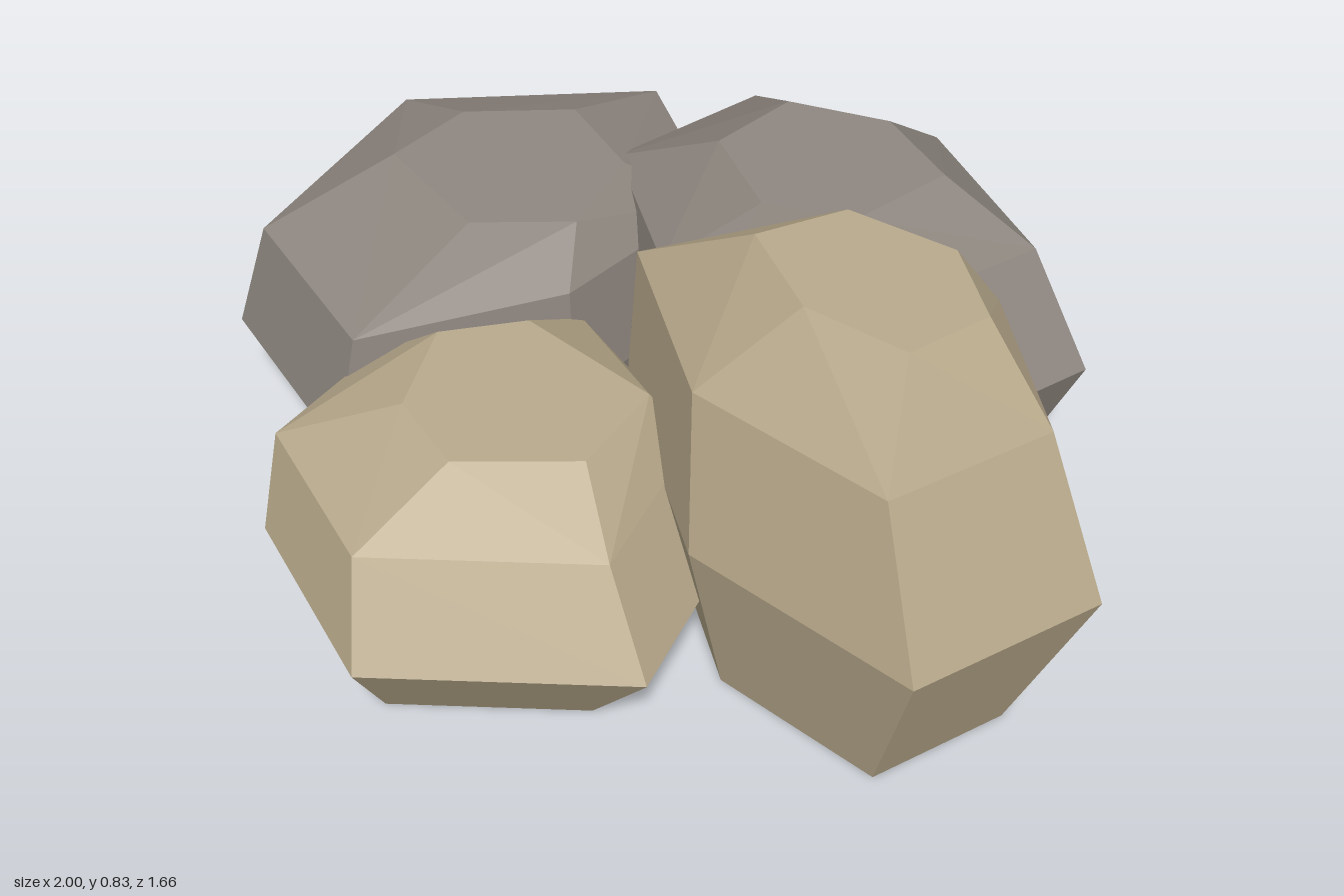
import * as THREE from 'three';
import { ConvexGeometry } from 'three/addons/geometries/ConvexGeometry.js';

// Scales a flat outline about its mean point, shifts it, and lifts it to a height.
function ringAt(outline, height, scale = 1, shiftX = 0, shiftZ = 0) {
  const centre = new THREE.Vector2();
  outline.forEach(([x, z]) => centre.add(new THREE.Vector2(x, z).divideScalar(outline.length)));
  return outline.map(([x, z]) => new THREE.Vector3(
    centre.x + (x - centre.x) * scale + shiftX,
    height,
    centre.y + (z - centre.y) * scale + shiftZ,
  ));
}

// A faceted rock: the base and shoulder follow the waist outline, the top is a flat cap.
function makeRock(name, material, { waist, waistY, base, shoulder, shoulderY, top, topY }) {
  const points = [
    ...ringAt(waist, 0, ...base),
    ...ringAt(waist, waistY),
    ...ringAt(waist, shoulderY, ...shoulder),
    ...ringAt(top, topY),
  ];
  const mesh = new THREE.Mesh(new ConvexGeometry(points), material);
  mesh.name = name;
  return mesh;
}

export function createModel() {
  const sandstone = new THREE.MeshStandardMaterial({ name: 'sandstone', color: 0xb9aa8c, flatShading: true });
  const granite = new THREE.MeshStandardMaterial({ name: 'granite', color: 0x8f8780, flatShading: true });
  const group = new THREE.Group();
  group.name = 'rockCluster';

  group.add(makeRock('tallRock', sandstone, {
    base: [0.73, -0.03],
    waist: [[1, -0.135], [0.645, -0.365], [0.23, -0.24], [0.04, 0.09], [0.47, 0.31], [0.94, 0.245]],
    waistY: 0.365,
    shoulder: [0.85, -0.065],
    shoulderY: 0.66,
    top: [[0.74, -0.083], [0.58, -0.175], [0.377, -0.12], [0.33, 0.05], [0.53, 0.126], [0.725, 0.083]],
    topY: 0.835,
  }));

  group.add(makeRock('frontRock', sandstone, {
    base: [0.74, -0.042],
    waist: [[0.535, 0.457], [0.35, 0.08], [-0.12, 0], [-0.315, 0.42], [-0.22, 0.735], [0.195, 0.826]],
    waistY: 0.195,
    shoulder: [0.87, -0.066, -0.02],
    shoulderY: 0.37,
    top: [[0.27, 0.37], [0.2, 0.17], [-0.11, 0.2], [-0.19, 0.35], [-0.06, 0.52], [0.12, 0.55]],
    topY: 0.475,
  }));

  group.add(makeRock('sideRock', granite, {
    base: [0.78, 0.035],
    waist: [[-0.13, 0.08], [-0.2, -0.4], [-0.645, -0.595], [-1, -0.11], [-0.757, 0.446], [-0.29, 0.525]],
    waistY: 0.225,
    shoulder: [0.89, 0.017],
    shoulderY: 0.45,
    top: [[-0.23, -0.01], [-0.33, -0.21], [-0.55, -0.26], [-0.69, -0.08], [-0.65, 0.12], [-0.36, 0.15]],
    topY: 0.54,
  }));

  group.add(makeRock('backRock', granite, {
    base: [0.76, 0, 0.02],
    waist: [[0.465, -0.33], [0.505, -0.67], [0.04, -0.833], [-0.38, -0.63], [-0.39, -0.2], [0.01, 0]],
    waistY: 0.29,
    shoulder: [0.85, -0.06],
    shoulderY: 0.52,
    top: [[0.23, -0.3], [0.23, -0.525], [0.03, -0.58], [-0.15, -0.48], [-0.13, -0.28], [0.08, -0.2]],
    topY: 0.66,
  }));

  return group;
}
